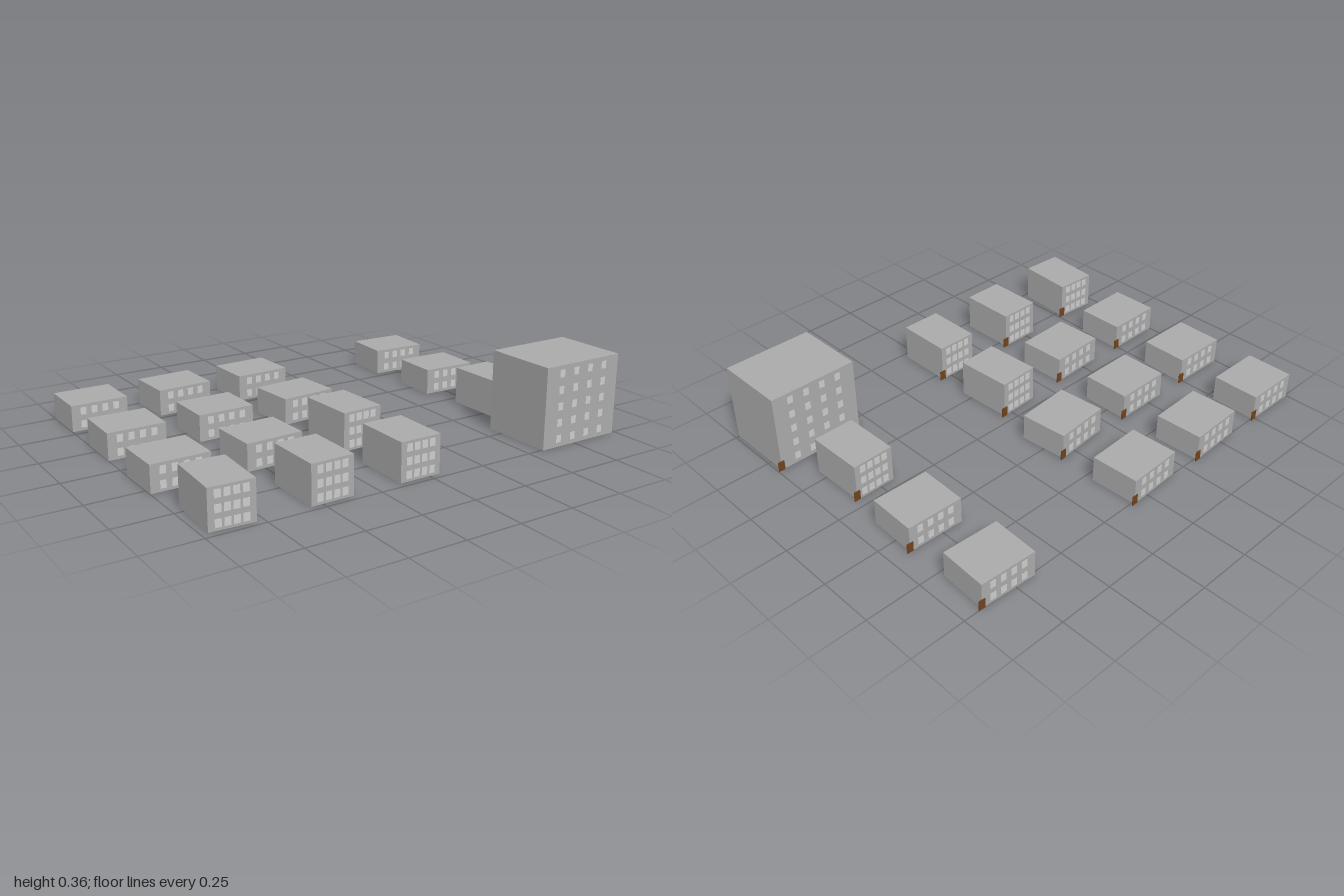
import * as THREE from 'three';

const wall = new THREE.MeshStandardMaterial({ color: 0xaaaaaa });
wall.name = 'concrete grey';
const glass = new THREE.MeshStandardMaterial({ color: 0xcccccc });
glass.name = 'window light grey';
const wood = new THREE.MeshStandardMaterial({ color: 0x70431c });
wood.name = 'door brown';

// Building types: width, height, depth, number of floors
const TYPES = {
  house: { w: 0.26, h: 0.12, d: 0.222, floors: 2 },
  block: { w: 0.19, h: 0.17, d: 0.262, floors: 3 },
  tower: { w: 0.41, h: 0.36, d: 0.333, floors: 5 },
};

// Town plan, back row first: type and small turn about y
const PLAN = [
  [['house', 0], ['house', 0.04], ['house', 0.04], ['house', -0.05]],
  [['house', -0.01], ['house', 0.01], ['house', 0.085], ['house', -0.03]],
  [['house', 0.01], ['house', 0.04], ['block', 0.05], ['block', 0.015]],
  [['block', -0.055], ['block', 0.01], ['block', 0], ['tower', 0.003]],
];
const COLUMN_X = [-0.869, -0.456, -0.045, 0.778];
const ROW_Z = [-0.645, -0.232, 0.178, 0.589];

function box(name, material, w, h, d, x, y, z) {
  const mesh = new THREE.Mesh(new THREE.BoxGeometry(w, h, d), material);
  mesh.name = name;
  mesh.position.set(x, y, z);
  return mesh;
}

function makeBuilding(type) {
  const { w, h, d, floors } = TYPES[type];
  const building = new THREE.Group();
  building.name = type;
  building.add(box('walls', wall, w, h, d, 0, h / 2, 0));

  // Four windows per floor on the front and the back
  const floorHeight = h / floors;
  for (const side of [1, -1]) {
    for (let floor = 0; floor < floors; floor++) {
      for (let i = 0; i < 4; i++) {
        const x = (i - 1.5) * w * 0.195;
        const y = (floor + 0.5) * floorHeight;
        building.add(box('window', glass, 0.027, 0.033, 0.003, x, y, side * d / 2));
      }
    }
  }

  // Door plate centred on the back left corner
  building.add(box('door', wood, 0.03, 0.046, 0.004, w / 2, 0.023, -d / 2 - 0.001));
  return building;
}

export function createModel() {
  const town = new THREE.Group();
  town.name = 'town';
  PLAN.forEach((row, r) => row.forEach(([type, turn], c) => {
    const building = makeBuilding(type);
    building.position.set(COLUMN_X[c], 0, ROW_Z[r]);
    building.rotation.y = turn;
    town.add(building);
  }));
  return town;
}
